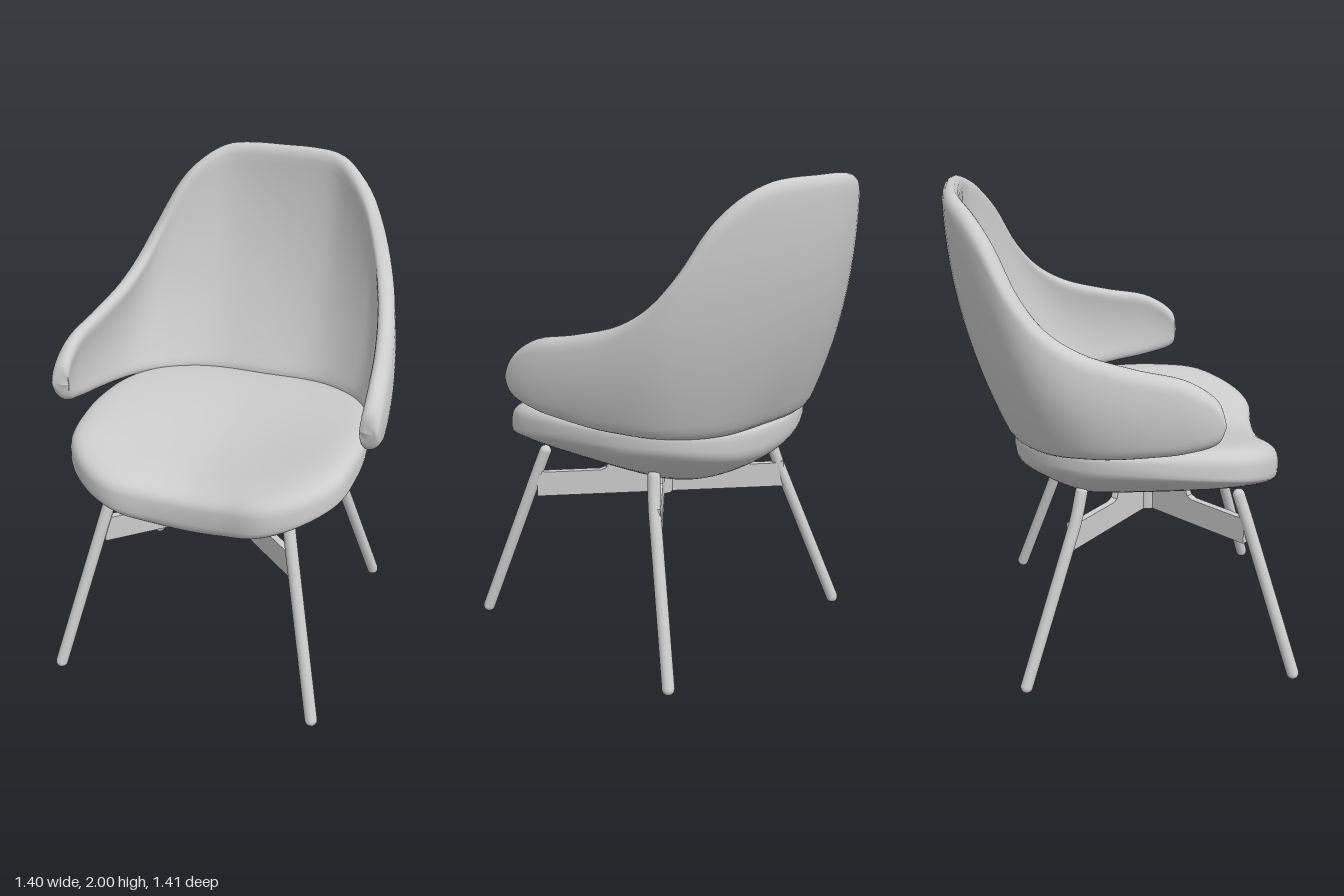
import * as THREE from 'three';

const V = (x, y, z) => new THREE.Vector3(x, y, z);

// Smooth surface through rows of points, each row a closed loop
function loft(rows) {
  const n = rows[0].length, pos = [], idx = [];
  rows.forEach(r => r.forEach(p => pos.push(p.x, p.y, p.z)));
  for (let i = 0; i < rows.length - 1; i++) {
    for (let j = 0; j < n; j++) {
      const a = i * n + j, b = i * n + (j + 1) % n;
      idx.push(a, a + n, b, b, a + n, b + n);
    }
  }
  const g = new THREE.BufferGeometry();
  g.setAttribute('position', new THREE.Float32BufferAttribute(pos, 3));
  g.setIndex(idx);
  g.computeVertexNormals();
  return g;
}

// Puffy cushion: plan outline shrunk ring by ring, with saddle-shaped top and bottom
function seatGeometry() {
  const half = [[0.15, 0.612], [0.31, 0.632], [0.45, 0.575], [0.57, 0.44], [0.603, 0.25],
    [0.598, 0.05], [0.555, -0.14], [0.45, -0.31], [0.27, -0.42]];
  const pts = [[0, 0.603], ...half, [0, -0.45], ...half.slice().reverse().map(([x, z]) => [-x, z])];
  const outline = new THREE.CatmullRomCurve3(pts.map(([x, z]) => V(x, 0, z)), true)
    .getPoints(96).slice(0, 96).reverse();
  const cz = 0.1, steps = 22, rows = [];
  const ring = (s, side) => outline.map(o => {
    const x = o.x * s, z = cz + (o.z - cz) * s;
    const k = Math.min(1, Math.pow(Math.abs(x) / 0.6, 1.7));
    const front = THREE.MathUtils.smoothstep(z, -0.45, 0.45);
    const top = THREE.MathUtils.lerp(1.03, 0.96, front) + k * THREE.MathUtils.lerp(0.03, 0.15, front);
    const bottom = 0.7 + 0.2 * k + 0.08 * (1 - THREE.MathUtils.smoothstep(z, -0.45, -0.12));
    const rim = THREE.MathUtils.lerp(0.95, 0.845, THREE.MathUtils.smoothstep(z, -0.4, 0.6)) + 0.08 * k;
    const h = Math.pow(Math.max(0, 1 - Math.pow(s, 3.6)), 0.28);
    return V(x, rim + ((side > 0 ? top : bottom) - rim) * h, z);
  });
  for (let i = 0; i <= steps; i++) rows.push(ring(Math.sin(i / steps * Math.PI / 2), -1));
  for (let i = steps - 1; i >= 0; i--) rows.push(ring(Math.sin(i / steps * Math.PI / 2), 1));
  return loft(rows);
}

// Wraparound shell stretched between a top edge and a bottom edge
function shellGeometry() {
  const top = [[0, 2, -0.665], [0.14, 2, -0.662], [0.25, 1.988, -0.645], [0.34, 1.94, -0.592],
    [0.43, 1.84, -0.522], [0.505, 1.67, -0.435], [0.55, 1.54, -0.33], [0.582, 1.458, -0.2],
    [0.617, 1.4, 0], [0.642, 1.355, 0.2], [0.648, 1.27, 0.318], [0.648, 1.19, 0.338]];
  const bottom = [[0, 0.99, -0.425], [0.12, 0.99, -0.425], [0.22, 0.991, -0.415], [0.31, 0.994, -0.387],
    [0.4, 1, -0.335], [0.478, 1.01, -0.27], [0.538, 1.022, -0.185], [0.582, 1.032, -0.09],
    [0.62, 1.05, 0.05], [0.645, 1.073, 0.2], [0.65, 1.115, 0.318], [0.648, 1.19, 0.338]];
  const edge = p => new THREE.CatmullRomCurve3([
    ...p.slice().reverse().map(q => V(...q)),
    ...p.slice(1).map(([x, y, z]) => V(-x, y, z))]);
  const topEdge = edge(top), bottomEdge = edge(bottom);
  const middle = t => topEdge.getPoint(t).add(bottomEdge.getPoint(t)).multiplyScalar(0.5);
  const columns = 110, steps = 22, rows = [];
  for (let i = 0; i <= columns; i++) {
    const t = (1 - Math.cos(Math.PI * i / columns)) / 2;
    const a = bottomEdge.getPoint(t), b = topEdge.getPoint(t), len = a.distanceTo(b);
    const dir = middle(Math.min(1, t + 0.004)).sub(middle(Math.max(0, t - 0.004)));
    const out = V(-dir.z, 0, dir.x).normalize();
    const arm = Math.abs(2 * t - 1);
    const bulge = THREE.MathUtils.lerp(0.07, 0.008, arm) * Math.min(1, len / 0.25);
    const half = THREE.MathUtils.lerp(0.034, 0.038, arm);
    if (out.dot(V(a.x, 0, a.z - 0.4)) < 0) out.negate();
    const point = (v, side) => {
      const d = Math.min(1, Math.min(v, 1 - v) * len / 0.045);
      const round = Math.sqrt(Math.max(0, 1 - (1 - d) ** 2));
      return a.clone().lerp(b, v).addScaledVector(out, bulge * 4 * v * (1 - v) + side * half * round);
    };
    const loop = [];
    for (let j = 0; j < 2 * steps; j++) {
      const v = (1 - Math.cos(Math.PI * j / steps)) / 2;
      loop.push(point(v, j < steps ? 1 : -1));
    }
    rows.push(loop);
  }
  return loft(rows);
}

export function createModel() {
  const chair = new THREE.Group();
  chair.name = 'armchair';
  const grey = new THREE.MeshStandardMaterial({ color: 0xcccccc });
  grey.name = 'light grey';
  const add = (name, geometry) => {
    const m = new THREE.Mesh(geometry, grey);
    m.name = name;
    chair.add(m);
    return m;
  };

  add('seatCushion', seatGeometry());
  add('backrestShell', shellGeometry());

  // Round legs with domed ends; the tops turn upright under the seat
  const legs = { frontLeg: [[0.56, 0.028, 0.68], [0.405, 0.69, 0.485], [0.385, 0.775, 0.458]],
    rearLeg: [[0.56, 0.028, -0.43], [0.4, 0.7, -0.208], [0.375, 0.81, -0.185]] };
  for (const [name, [foot, bend, tip]] of Object.entries(legs)) {
    for (const s of [1, -1]) {
      const [f, k, e] = [foot, bend, tip].map(([x, y, z]) => V(x * s, y, z));
      const path = new THREE.CurvePath();
      const k0 = k.clone().lerp(f, 0.06), k1 = k.clone().lerp(e, 0.5);
      path.add(new THREE.LineCurve3(f, k0));
      path.add(new THREE.QuadraticBezierCurve3(k0, k, k1));
      path.add(new THREE.LineCurve3(k1, e));
      const label = (s > 0 ? 'left ' : 'right ') + name;
      add(label, new THREE.TubeGeometry(path, 40, 0.026, 16));
      for (const p of [f, e]) add(label + ' end', new THREE.SphereGeometry(0.026, 16, 12)).position.copy(p);
    }
  }

  // Crossed stretcher boards with a raised middle that carries the seat
  const zMid = 0.125, halfLen = 0.55;
  const right = [[halfLen, 0.57], [halfLen, 0.69], [halfLen - 0.04, 0.68], [0.27, 0.68],
    [0.245, 0.69], [0.23, 0.73]];
  const left = right.slice().reverse().map(([x, y]) => [-x, y]);
  const board = new THREE.Shape([...right, ...left].map(p => new THREE.Vector2(...p)));
  const boardGeometry = new THREE.ExtrudeGeometry(board, { depth: 0.03, bevelEnabled: false });
  boardGeometry.translate(0, 0, -0.015);
  for (const s of [1, -1]) {
    const m = add('stretcher', boardGeometry);
    m.position.z = zMid;
    m.rotation.y = s * Math.atan2(0.367, 0.42);
  }
  const hub = add('stretcherHub', new THREE.CylinderGeometry(0.05, 0.05, 0.155, 32));
  hub.position.set(0, 0.6475, zMid);

  return chair;
}
